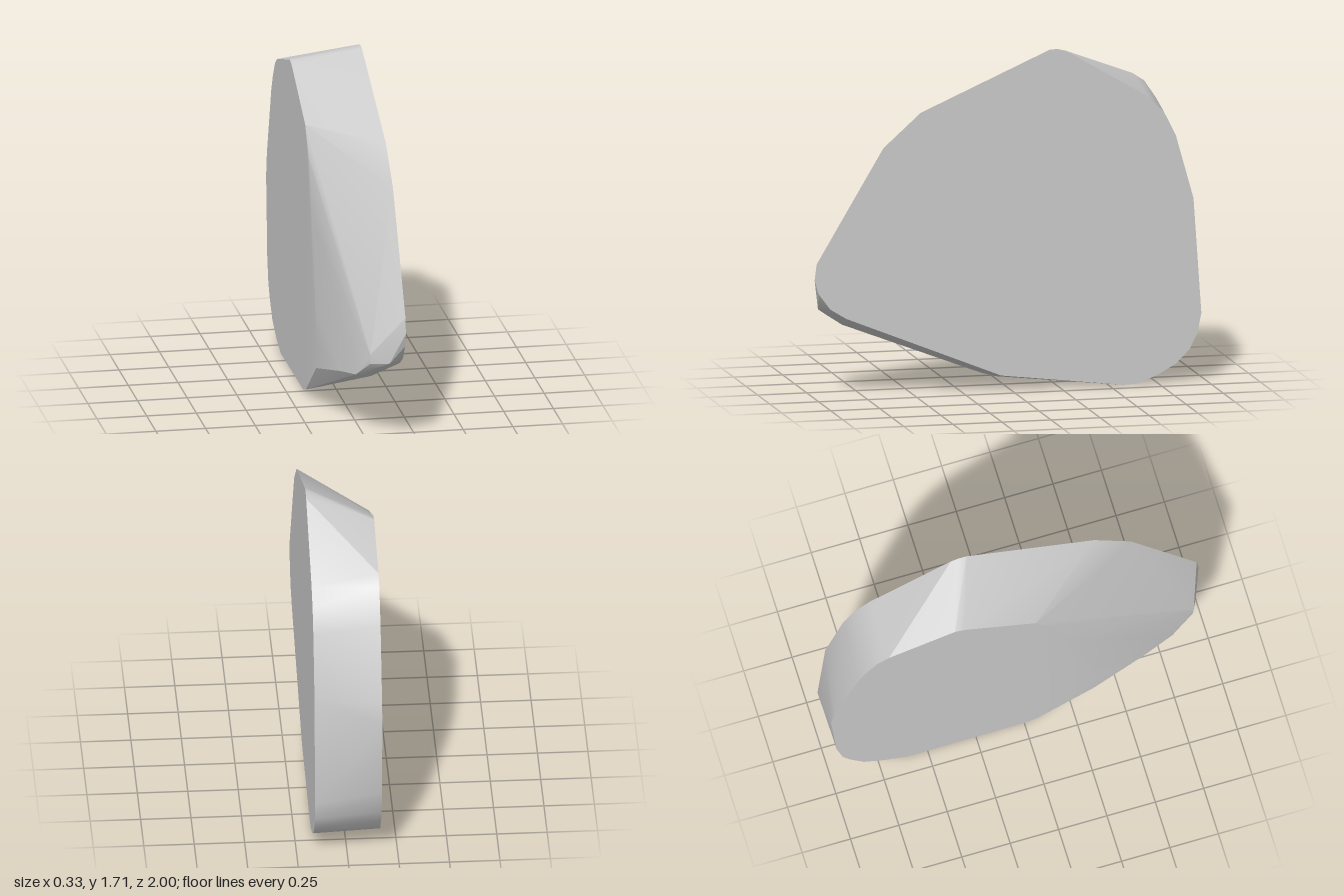
import * as THREE from 'three';
import { ConvexGeometry } from 'three/addons/geometries/ConvexGeometry.js';
import { toCreasedNormals } from 'three/addons/utils/BufferGeometryUtils.js';

export function createModel() {
  const group = new THREE.Group();
  group.name = 'stoneSlab';

  // Outlines of the two flat sides, as [z, y]
  const leftSide = [
    [-0.2, 1.71], [-0.24, 1.71], [-0.28, 1.7], [-0.7, 1.45], [-0.78, 1.37], [-0.84, 1.25],
    [-0.93, 0.93], [-0.97, 0.35], [-0.95, 0.25], [-0.91, 0.17], [-0.84, 0.1],
    [-0.75, 0.05], [-0.65, 0.01], [-0.58, 0.005], [0.05, 0.08], [0.84, 0.4],
    [0.92, 0.45], [0.98, 0.53], [1, 0.6], [0.99, 0.68], [0.65, 1.25], [0.46, 1.42],
  ];
  const rightSide = [
    [-0.31, 1.605], [-0.36, 1.615], [-0.7, 1.51], [-0.76, 1.47], [-0.82, 1.38], [-0.86, 1.3],
    [-0.98, 0.93], [-1, 0.81], [-0.97, 0.4], [-0.94, 0.27], [-0.9, 0.2], [-0.83, 0.11],
    [-0.72, 0.05], [-0.6, 0.01], [0, 0.015], [0.07, 0.035], [0.36, 0.24],
    [0.37, 0.36], [0.35, 0.55], [0.24, 1.0], [0.15, 1.27], [0.06, 1.41],
  ];
  // Rounded nose between the sides, as [x, y, z]
  const nose = [
    [0, 0.43, 0.92], [0, 0.48, 0.925], [0.02, 0.4, 0.91], [-0.05, 0.34, 0.8],
    [-0.1, 0.31, 0.64], [0.09, 0.44, 0.965], [0, 0.34, 0.82],
  ];

  const points = [
    ...leftSide.map(([z, y]) => new THREE.Vector3(0.165, y, z)),
    ...rightSide.map(([z, y]) => new THREE.Vector3(-0.167, y, z)),
    ...nose.map((p) => new THREE.Vector3(...p)),
  ];

  // Convex stone: soft around the rim, sharp where the flat sides begin
  const geometry = toCreasedNormals(new ConvexGeometry(points), 0.4);
  const stone = new THREE.Mesh(geometry, new THREE.MeshStandardMaterial({ color: 0xcccccc }));
  stone.name = 'stone';
  group.add(stone);
  return group;
}
